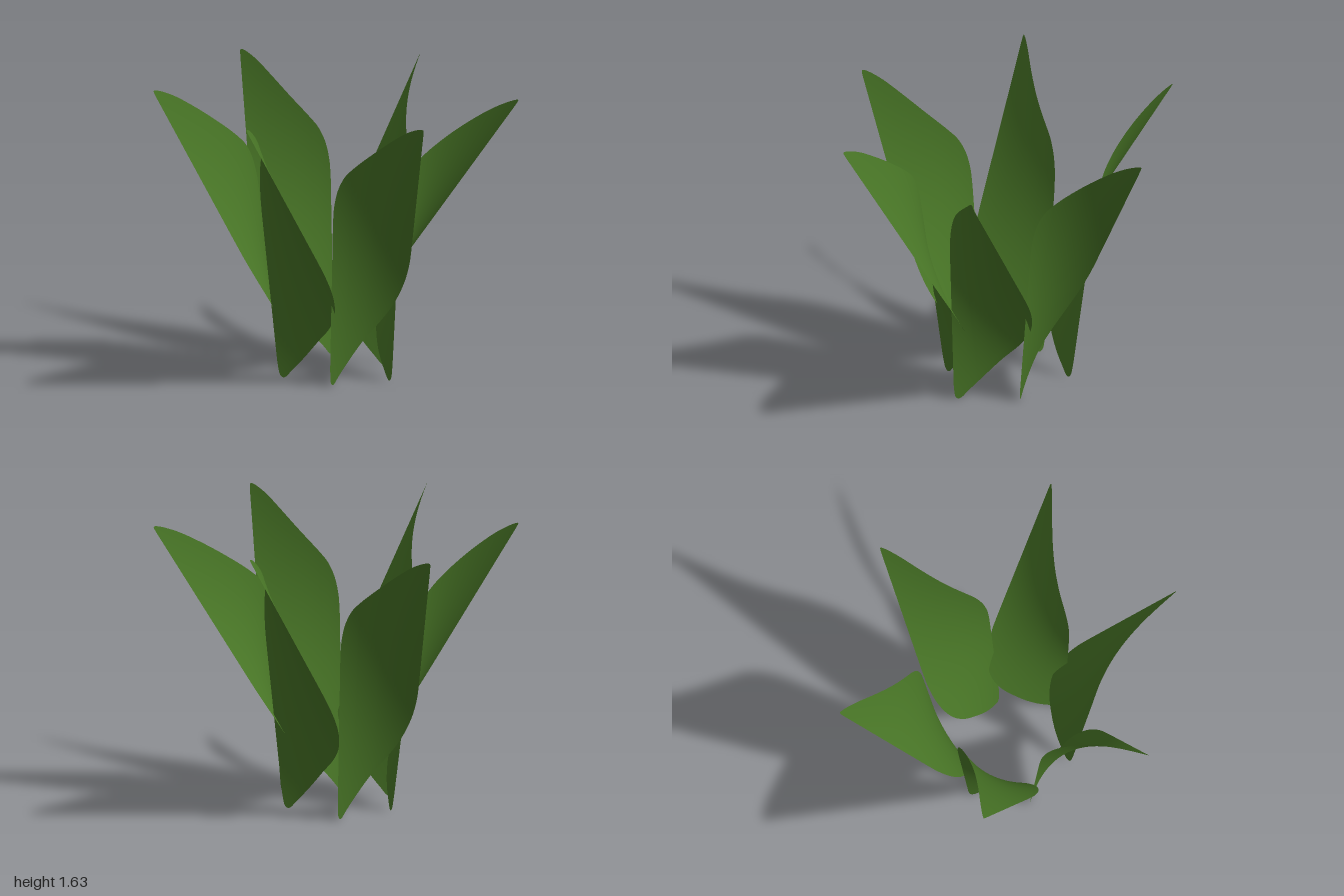
import * as THREE from 'three';

const LEAF_WIDTH = 0.45;

// One twisted leaf blade with its base point at the origin.
// fold: slant across the blade, lean: outward lean, twist: growth of the lean across the blade
function leafGeometry(fold, lean, twist) {
  // Outline from one side edge to the other: across, lower edge, upper edge
  const outline = new THREE.CatmullRomCurve3([
    [0, 0.1, 0.98], [0.006, 0.02, 1.09], [0.025, 0.005, 1.185], [0.06, 0.05, 1.265],
    [0.1, 0.1, 1.315], [0.21, 0.235, 1.43], [0.3, 0.33, 1.525], [0.36, 0.41, 1.585],
    [0.4, 0.49, 1.615], [0.43, 0.585, 1.63], [0.447, 0.7, 1.628], [0.45, 0.8, 1.6],
  ].map((p) => new THREE.Vector3(...p)));

  const geometry = new THREE.PlaneGeometry(1, 1, 66, 24);
  const pos = geometry.attributes.position;
  const column = new THREE.Vector3();
  for (let i = 0; i < pos.count; i++) {
    outline.getPoint(THREE.MathUtils.clamp(pos.getX(i) + 0.5, 0, 1), column);
    const u = column.x;
    const y = THREE.MathUtils.lerp(column.y, column.z, pos.getY(i) + 0.5);
    const z = fold * u + (lean + twist * u) * y
      - 0.012 * Math.sin((Math.PI * u) / LEAF_WIDTH);
    pos.setXYZ(i, u - 0.01, y, z);
  }
  geometry.computeVertexNormals();
  return geometry;
}

export function createModel() {
  const plant = new THREE.Group();
  plant.name = 'plant';

  const leafGreen = new THREE.MeshStandardMaterial({ color: 0x487526, side: THREE.DoubleSide });
  leafGreen.name = 'leaf green';
  const leafBlade = leafGeometry(-0.87, 0.125, 1.055);
  const twistedBlade = leafGeometry(-1.18, 0.05, 1.42);

  // Ring of six leaves: blade, base x, base z, height scale
  const leaves = [
    [leafBlade, -0.04, 0.322, 1], [leafBlade, -0.311, 0.118, 1],
    [leafBlade, -0.28, -0.238, 1], [leafBlade, 0.107, -0.326, 1],
    [twistedBlade, 0.412, -0.125, 0.976], [leafBlade, 0.28, 0.205, 1],
  ];
  leaves.forEach(([geometry, x, z, height], i) => {
    const leaf = new THREE.Mesh(geometry, leafGreen);
    leaf.name = `leaf${i + 1}`;
    leaf.position.set(x, 0, z);
    leaf.rotation.y = (-i * Math.PI) / 3;
    leaf.scale.y = height;
    plant.add(leaf);
  });
  return plant;
}
